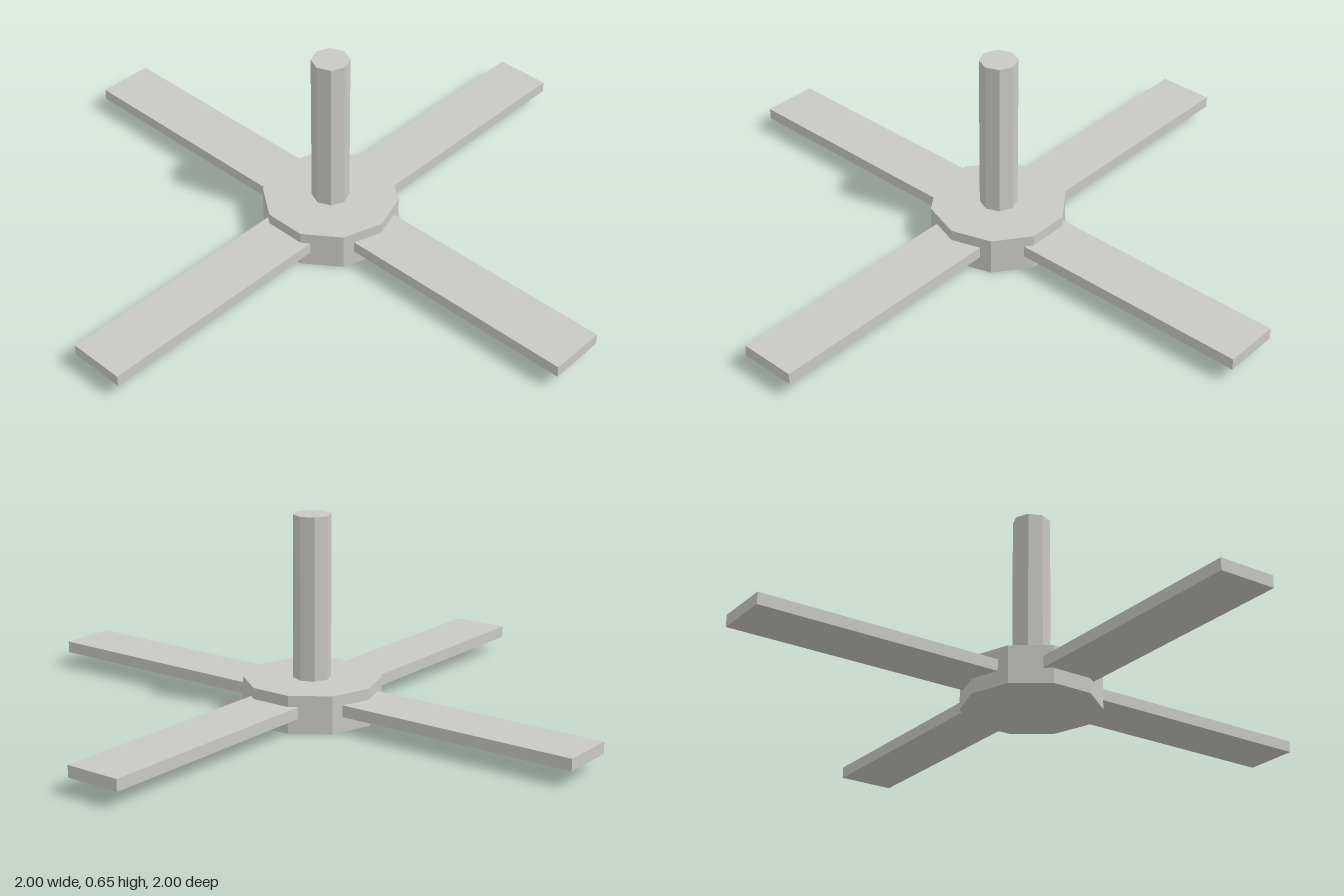
import * as THREE from 'three';

const HUB_RADIUS = 0.222, HUB_HEIGHT = 0.123;
const ROD_RADIUS = 0.061, ROD_TOP = 0.652;
const BLADE_INNER = 0.12, BLADE_OUTER = 1, BLADE_WIDTH = 0.188;
const BLADE_BOTTOM = 0.049, BLADE_TOP = 0.087;

export function createModel() {
  const model = new THREE.Group();
  model.name = 'ceilingFan';

  const grey = new THREE.MeshStandardMaterial({ color: 0xc8c8c6, flatShading: true });
  grey.name = 'light grey';

  // Upright prism with a corner on the x axis
  const addPrism = (name, radius, bottom, top, sides) => {
    const geometry = new THREE.CylinderGeometry(
      radius, radius, top - bottom, sides, 1, false, Math.PI / 2);
    const mesh = new THREE.Mesh(geometry, grey);
    mesh.name = name;
    mesh.position.y = (bottom + top) / 2;
    model.add(mesh);
  };

  // Ten-sided motor hub and eight-sided hanging rod
  addPrism('hub', HUB_RADIUS, 0, HUB_HEIGHT, 10);
  addPrism('rod', ROD_RADIUS, HUB_HEIGHT, ROD_TOP, 8);

  // Four flat blades, rooted inside the hub
  const bladeGeometry = new THREE.BoxGeometry(
    BLADE_OUTER - BLADE_INNER, BLADE_TOP - BLADE_BOTTOM, BLADE_WIDTH);
  bladeGeometry.translate(
    (BLADE_OUTER + BLADE_INNER) / 2, (BLADE_TOP + BLADE_BOTTOM) / 2, 0);
  for (let i = 0; i < 4; i++) {
    const blade = new THREE.Mesh(bladeGeometry, grey);
    blade.name = `blade${i + 1}`;
    blade.rotation.y = i * Math.PI / 2;
    model.add(blade);
  }

  return model;
}
